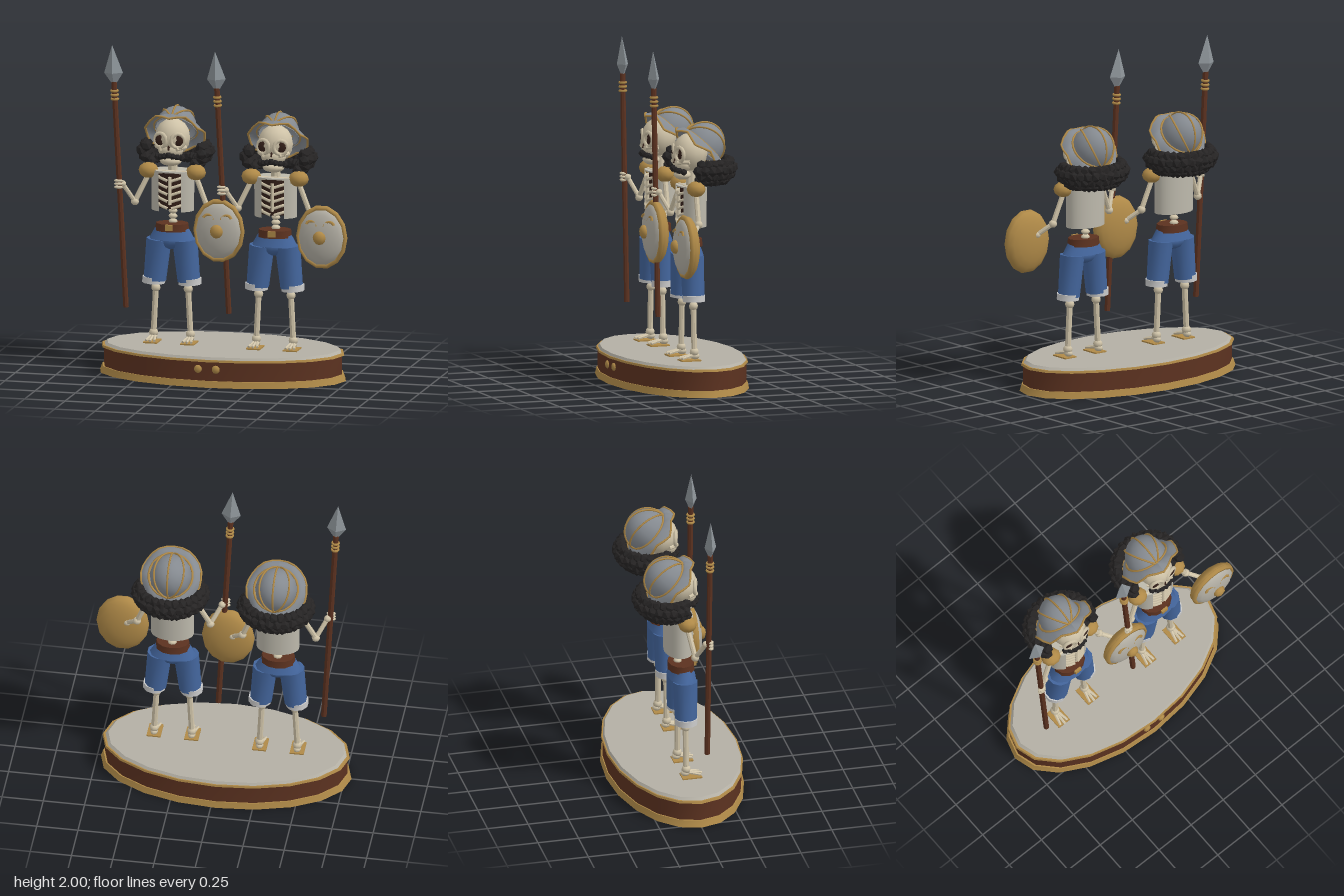
import * as THREE from 'three';
import { toCreasedNormals } from 'three/addons/utils/BufferGeometryUtils.js';

const mat = (color, extra = {}) => new THREE.MeshStandardMaterial({ color, ...extra });
const M = {
  bone: mat(0xcfc3a8), gold: mat(0xb08a48), wood: mat(0x5c3220), blue: mat(0x43659c),
  steel: mat(0x858a90, { side: THREE.DoubleSide }), blade: mat(0x8d9499, { flatShading: true }),
  vest: mat(0xbdb9ac, { side: THREE.DoubleSide }), stone: mat(0xb3afa4), cuff: mat(0xcccccc),
  black: mat(0x262424, { flatShading: true }), dark: mat(0x35211a),
};
const V = (x, y, z) => new THREE.Vector3(x, y, z);
const crease = (g) => toCreasedNormals(g, 0.7);

function add(parent, name, geo, material, pos = [0, 0, 0], scale = [1, 1, 1], rot = [0, 0, 0]) {
  const m = new THREE.Mesh(geo, material);
  m.name = name;
  m.position.set(...pos);
  m.scale.set(...scale);
  m.rotation.set(...rot);
  parent.add(m);
  return m;
}
const ball = (p, name, material, pos, scale, w = 12, h = 8) =>
  add(p, name, new THREE.SphereGeometry(1, w, h), material, pos, scale);

// Round bar between two points, r0 at the start and r1 at the end
function bar(p, name, material, a, b, r0, r1 = r0, sides = 8) {
  const A = V(...a), d = V(...b).sub(A);
  const m = add(p, name, crease(new THREE.CylinderGeometry(r1, r0, d.length(), sides)), material);
  m.position.copy(A).addScaledVector(d, 0.5);
  m.quaternion.setFromUnitVectors(V(0, 1, 0), d.normalize());
  return m;
}
const tube = (p, name, material, pts, r, closed = false, seg = 24) =>
  add(p, name, new THREE.TubeGeometry(new THREE.CatmullRomCurve3(pts, closed), seg, r, 5, closed), material);

// Bone with knobbed ends
function bone(p, name, a, b, r) {
  bar(p, name, M.bone, a, b, r);
  for (const e of [a, b]) ball(p, name + 'Joint', M.bone, e, [r * 1.6, r * 1.5, r * 1.6], 8, 6);
}

function makeSpear() {
  const g = new THREE.Group();
  g.name = 'spear';
  bar(g, 'spearShaft', M.wood, [0, 0, 0], [0, 1.375, 0], 0.017);
  for (const y of [1.27, 1.295, 1.32])
    add(g, 'spearRing', new THREE.TorusGeometry(0.019, 0.008, 6, 10), M.gold, [0, y, 0], [1, 1, 1], [Math.PI / 2, 0, 0]);
  const profile = [[0, 0], [0.018, 0], [0.058, 0.06], [0, 0.23]].map((q) => new THREE.Vector2(...q));
  add(g, 'spearBlade', new THREE.LatheGeometry(profile, 4), M.blade, [0, 1.37, 0], [1, 1, 0.62]);
  g.position.set(-0.26, 0.4, 0.095);
  g.rotation.z = 0.054;
  return g;
}

function makeShield() {
  const g = new THREE.Group();
  g.name = 'shield';
  const dome = () => new THREE.SphereGeometry(1, 14, 5, 0, Math.PI * 2, 0, Math.PI / 2);
  add(g, 'shieldBack', dome(), M.gold, [0, 0, 0], [0.16, 0.07, 0.195], [-Math.PI / 2, 0, 0]);
  add(g, 'shieldFace', dome(), M.stone, [0, 0, 0.01], [0.142, 0.055, 0.175], [Math.PI / 2, 0, 0]);
  add(g, 'shieldRim', new THREE.TorusGeometry(0.145, 0.014, 6, 14), M.gold, [0, 0, 0.005], [1, 1.23, 1.4]);
  ball(g, 'shieldNose', M.gold, [0, 0.005, 0.068], [0.04, 0.042, 0.03], 8, 6);
  for (const s of [-1, 1])
    add(g, 'shieldBrow', new THREE.TorusGeometry(0.033, 0.009, 5, 8, Math.PI * 0.85), M.gold,
      [s * 0.055, 0.07, 0.052], [1, 1, 1], [-0.25, 0, 0.2 + s * 0.15]);
  g.position.set(0.325, 0.905, 0.13);
  return g;
}

function makeHelmet() {
  const g = new THREE.Group();
  g.name = 'helmet';
  add(g, 'helmetDome', new THREE.SphereGeometry(1, 12, 6, 0, Math.PI * 2, 0, Math.PI / 2), M.steel, [0, 0, 0], [0.128, 0.15, 0.135]);
  // Scalloped brim with gilded edges
  const wave = (a) => 0.016 * Math.cos(a * 6);
  const brim = new THREE.LatheGeometry([new THREE.Vector2(0.182, -0.025), new THREE.Vector2(0.155, 0.012), new THREE.Vector2(0.12, 0.005)], 24);
  const p = brim.attributes.position;
  for (let i = 0; i < p.count; i++) {
    const x = p.getX(i), z = p.getZ(i);
    if (Math.hypot(x, z) > 0.17) p.setY(i, p.getY(i) + wave(Math.atan2(z, x)));
  }
  brim.computeVertexNormals();
  add(g, 'helmetBrim', brim, M.steel);
  for (const [r, y, k] of [[0.182, -0.025, 1], [0.133, 0.012, 0]]) {
    const pts = Array.from({ length: 24 }, (_, i) => {
      const a = i / 24 * Math.PI * 2;
      return V(Math.cos(a) * r, y + k * wave(a), Math.sin(a) * r);
    });
    tube(g, 'helmetTrim', M.gold, pts, 0.007, true, 24);
  }
  // Ridges over the dome
  for (const t of [-0.75, 0, 0.75]) {
    const pts = Array.from({ length: 9 }, (_, i) => {
      const a = i / 8 * Math.PI;
      return V(Math.sin(t) * Math.sin(a) * 0.132, Math.cos(t) * Math.sin(a) * 0.154, Math.cos(a) * 0.138);
    });
    tube(g, 'helmetRidge', M.gold, pts, 0.006);
  }
  g.position.set(0, 1.46, -0.085);
  g.rotation.x = -0.78;
  return g;
}

function makeHead() {
  const g = new THREE.Group();
  g.name = 'head';
  ball(g, 'cranium', M.bone, [0, 1.43, -0.015], [0.108, 0.115, 0.105]);
  ball(g, 'upperJaw', M.bone, [0, 1.36, 0.035], [0.078, 0.05, 0.055]);
  ball(g, 'chin', M.bone, [0, 1.295, 0.035], [0.068, 0.03, 0.05]);
  for (const s of [-1, 1]) {
    add(g, 'eyeRim', new THREE.TorusGeometry(0.04, 0.012, 6, 12), M.bone, [s * 0.053, 1.425, 0.07], [1, 1.05, 1], [0, s * 0.3, 0]);
    ball(g, 'eyeSocket', M.dark, [s * 0.053, 1.425, 0.066], [0.036, 0.038, 0.012], 10, 6);
    bar(g, 'cheekbone', M.bone, [s * 0.09, 1.38, 0.02], [s * 0.045, 1.375, 0.08], 0.014);
  }
  add(g, 'noseHole', new THREE.ConeGeometry(0.018, 0.035, 3), M.dark, [0, 1.385, 0.083], [1, 1, 0.6]);
  // Curly moustache and horseshoe of curls round the back of the head
  for (let i = -3; i <= 3; i++)
    add(g, 'moustache', new THREE.IcosahedronGeometry(0.022, 0), M.black, [i * 0.025, 1.338 - Math.abs(i) * 0.006, 0.088 - i * i * 0.004], [1, 1, 1], [i, i * 2, 0]);
  for (let row = 0; row < 4; row++) {
    const n = 19, r = [0.155, 0.192, 0.206, 0.185][row];
    for (let i = 0; i < n; i++) {
      const a = -0.5 + (i + (row % 2) * 0.5) / (n - 0.5) * (Math.PI + 1);
      add(g, 'hairCurl', new THREE.IcosahedronGeometry(0.036, 0), M.black,
        [Math.cos(a) * r, 1.27 + row * 0.033, -0.09 - Math.sin(a) * r * 0.88], [1, 1, 1], [i * 1.3, row + i, i * 0.7]);
    }
  }
  g.add(makeHelmet());
  return g;
}

function makeTorso() {
  const g = new THREE.Group();
  g.name = 'torso';
  // Vest open at the front, dark hollow and ribs inside
  const gap = 0.56;
  const vest = new THREE.CylinderGeometry(1, 0.98, 0.245, 24, 1, true, gap, Math.PI * 2 - gap * 2);
  add(g, 'vest', vest, M.vest, [0, 1.108, -0.022], [0.132, 1, 0.088]);
  add(g, 'vestTop', new THREE.CylinderGeometry(1, 1, 0.008, 24), M.vest, [0, 1.226, -0.022], [0.13, 1, 0.085]);
  add(g, 'chestHollow', new THREE.CylinderGeometry(0.105, 0.095, 0.225, 16), M.dark, [0, 1.112, -0.022], [1, 1, 0.58]);
  for (let i = 0; i < 5; i++) {
    const y = 1.185 - i * 0.042, w = 0.09 - Math.abs(i - 1) * 0.004;
    for (const s of [-1, 1])
      tube(g, 'rib', M.bone, [V(s * w, y + 0.008, 0.0), V(s * 0.065, y + 0.008, 0.045), V(s * 0.01, y - 0.01, 0.062)], 0.0095, false, 8);
  }
  bar(g, 'sternum', M.bone, [0, 1.03, 0.06], [0, 1.2, 0.06], 0.011);
  bar(g, 'collarbone', M.bone, [-0.14, 1.222, 0.02], [0.14, 1.222, 0.02], 0.013);
  bar(g, 'neck', M.bone, [0, 1.2, -0.02], [0, 1.34, -0.02], 0.03);
  for (let i = 0; i < 4; i++) ball(g, 'vertebra', M.bone, [0, 0.915 + i * 0.032, -0.025], [0.028, 0.017, 0.026], 8, 6);
  return g;
}

function makeLegs() {
  const g = new THREE.Group();
  g.name = 'legs';
  add(g, 'belt', crease(new THREE.CylinderGeometry(0.1, 0.105, 0.045, 12)), M.wood, [0, 0.887, -0.005], [1, 1, 0.78]);
  add(g, 'buckle', new THREE.BoxGeometry(0.045, 0.035, 0.015), M.gold, [0, 0.893, 0.078]);
  add(g, 'shortsSeat', crease(new THREE.CylinderGeometry(0.105, 0.142, 0.065, 12)), M.blue, [0, 0.845, -0.002], [1, 1, 0.6]);
  ball(g, 'shortsCrotch', M.blue, [0, 0.805, 0], [0.12, 0.055, 0.07]);
  for (const s of [-1, 1]) {
    bar(g, 'shortsLeg', M.blue, [s * 0.105, 0.56, 0.002], [s * 0.08, 0.81, 0.002], 0.068, 0.076, 10);
    bar(g, 'shortsCuff', M.cuff, [s * 0.113, 0.54, 0.002], [s * 0.111, 0.578, 0.002], 0.069, 0.07, 10);
    bone(g, 'shin', [s * 0.1, 0.51, 0], [s * 0.114, 0.235, 0], 0.018);
    add(g, 'footPlate', new THREE.BoxGeometry(0.085, 0.01, 0.12), M.gold, [s * 0.114, 0.186, 0.03]);
    ball(g, 'heel', M.bone, [s * 0.114, 0.21, -0.005], [0.024, 0.02, 0.03], 8, 6);
    for (const t of [-1, 0, 1])
      bar(g, 'toe', M.bone, [s * 0.114 + t * 0.008, 0.218, 0.005], [s * 0.114 + t * 0.026, 0.2, 0.095 - Math.abs(t) * 0.01], 0.011, 0.008, 6);
  }
  return g;
}

function makeSkeleton(x, z) {
  const g = new THREE.Group();
  g.name = 'skeletonSoldier';
  g.add(makeHead(), makeTorso(), makeLegs(), makeSpear(), makeShield());
  const arms = [
    ['rightArm', [-0.145, 1.2, 0], [-0.222, 1.035, 0.03], [-0.285, 1.15, 0.08]],
    ['leftArm', [0.148, 1.2, 0], [0.22, 1.02, 0.01], [0.29, 0.95, 0.075]],
  ];
  for (const [name, shoulder, elbow, hand] of arms) {
    bone(g, name + 'Upper', shoulder, elbow, 0.016);
    bone(g, name + 'Fore', elbow, hand, 0.014);
    ball(g, 'pauldron', M.gold, [shoulder[0], 1.225, 0], [0.062, 0.048, 0.056], 10, 6);
    for (let i = 0; i < 3; i++)
      ball(g, 'finger', M.bone, [hand[0] - 0.018, hand[1] - 0.018 + i * 0.02, hand[2] + 0.025], [0.03, 0.01, 0.018], 8, 5);
  }
  g.position.set(x, 0, z);
  return g;
}

function makeBase() {
  const g = new THREE.Group();
  g.name = 'base';
  const tiers = [
    ['plinthFoot', M.gold, 0, 0.04, 0.76, 0.745], ['plinthBody', M.wood, 0.04, 0.156, 0.735, 0.735],
    ['plinthTrim', M.gold, 0.155, 0.168, 0.75, 0.745], ['plinthTop', M.stone, 0.165, 0.183, 0.735, 0.715],
  ];
  for (const [name, material, y0, y1, r0, r1] of tiers)
    add(g, name, crease(new THREE.CylinderGeometry(r1, r0, y1 - y0, 20)), material, [0, (y0 + y1) / 2, 0], [1, 1, 0.535]);
  for (const x of [-0.055, 0.055]) ball(g, 'plinthStud', M.gold, [x, 0.11, 0.39], [0.025, 0.025, 0.015], 8, 6);
  g.position.x = -0.03;
  return g;
}

export function createModel() {
  const model = new THREE.Group();
  model.name = 'skeletonSoldiers';
  model.add(makeBase(), makeSkeleton(-0.35, -0.018), makeSkeleton(0.295, 0.018));
  return model;
}
